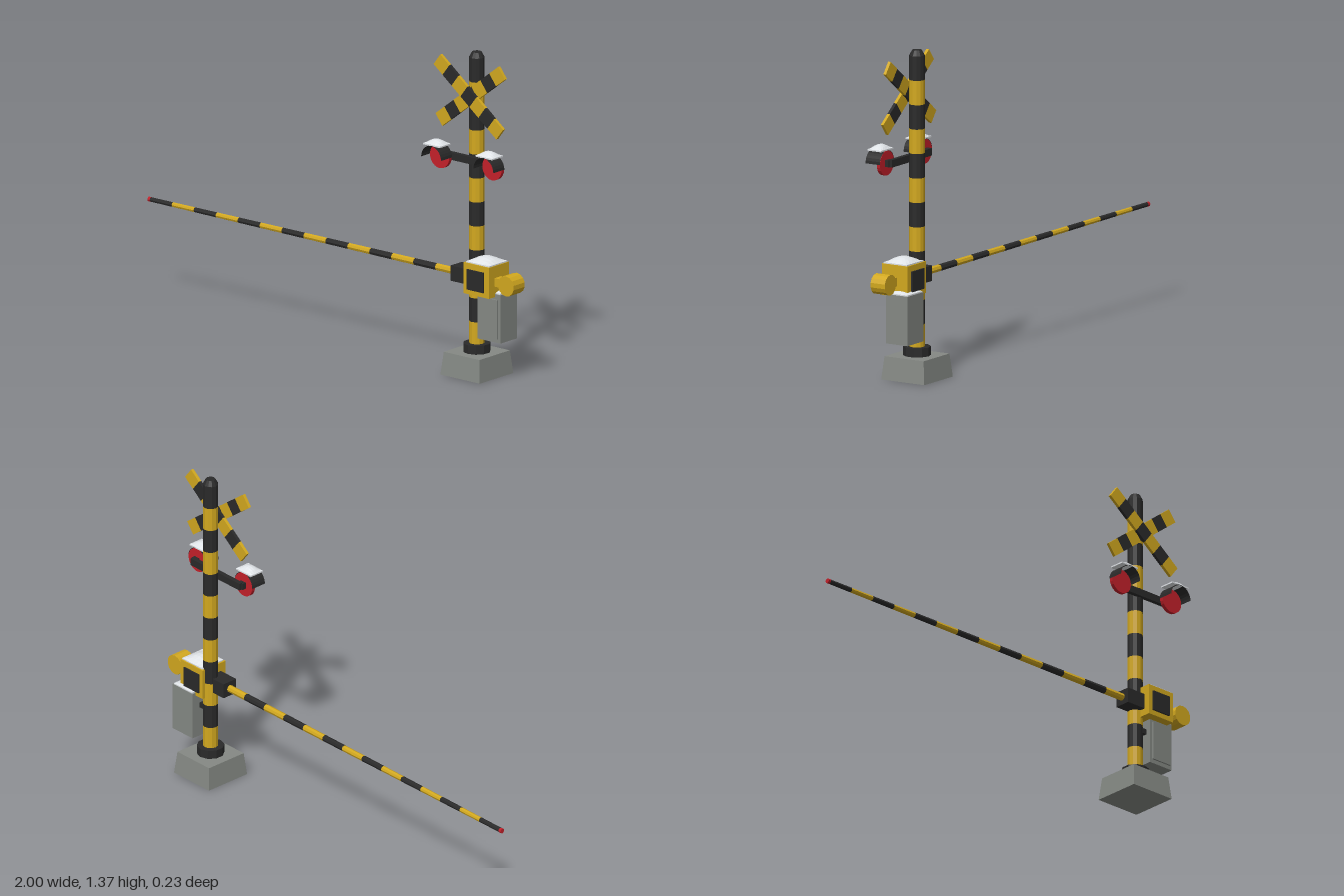
import * as THREE from 'three';

function mat(name, color, double) {
  const m = new THREE.MeshStandardMaterial({ color, flatShading: true });
  m.name = name;
  if (double) m.side = THREE.DoubleSide;
  return m;
}

export function createModel() {
  const yellow = mat('yellow', 0xd2a81f);
  const black = mat('black', 0x2a2a2a, true);
  const grey = mat('concrete grey', 0x858984);
  const red = mat('red', 0xc4202a);
  const snow = mat('snow white', 0xe6eaee);

  const model = new THREE.Group();
  model.name = 'crossingBarrier';
  const PX = 0.748, PZ = -0.007, ARM_Y = 0.425, ARM_Z = 0.015;

  function add(name, geo, material, x = 0, y = 0, z = 0, parent = model) {
    const m = new THREE.Mesh(geo, material);
    m.name = name;
    m.position.set(x, y, z);
    parent.add(m);
    return m;
  }
  // Box given by its minimum and maximum corners
  function box(name, material, x0, x1, y0, y1, z0, z1, parent) {
    return add(name, new THREE.BoxGeometry(x1 - x0, y1 - y0, z1 - z0), material,
      (x0 + x1) / 2, (y0 + y1) / 2, (z0 + z1) / 2, parent);
  }
  // Thin slab of snow with a domed top
  function snowCap(name, x, y, z, w, d, h) {
    const geo = new THREE.BoxGeometry(w, 0.006, d, 6, 1, 6);
    const p = geo.attributes.position;
    for (let i = 0; i < p.count; i++) {
      if (p.getY(i) < 0) continue;
      const u = p.getX(i) / (w / 2), v = p.getZ(i) / (d / 2);
      p.setY(i, 0.003 + h * (1 - u * u) * (1 - v * v));
    }
    geo.computeVertexNormals();
    add(name, geo, snow, x, y + 0.003, z);
  }

  // Tapered concrete foot and collar
  const foot = new THREE.CylinderGeometry(0.096 * Math.SQRT2, 0.106 * Math.SQRT2, 0.097, 4);
  foot.rotateY(Math.PI / 4);
  add('foot', foot, grey, PX, 0.0485, PZ);
  add('collar', new THREE.CylinderGeometry(0.057, 0.057, 0.038, 10), black, PX, 0.115, PZ);

  // Striped post, from the top down
  const post = new THREE.Group();
  post.name = 'post';
  model.add(post);
  const step = 0.1022;
  for (let i = 0; i < 12; i++) {
    const top = 1.352 - i * step;
    const bottom = i === 11 ? 0.1 : top - step;
    add('postStripe', new THREE.CylinderGeometry(0.032, 0.032, top - bottom, 12),
      i % 2 ? yellow : black, PX, (top + bottom) / 2, PZ, post);
  }
  add('postCap', new THREE.CylinderGeometry(0.02, 0.032, 0.022, 12), black, PX, 1.363, PZ, post);

  // Crossed warning boards
  for (const side of [-1, 1]) {
    const board = new THREE.Group();
    board.name = 'crossBoard';
    board.position.set(PX, 1.192, side < 0 ? 0.0405 : 0.0285);
    board.rotation.z = side * 0.655;
    model.add(board);
    const len = 0.426 / 7;
    for (let i = 0; i < 7; i++) {
      add('boardStripe', new THREE.BoxGeometry(len, 0.06, 0.013),
        i % 2 ? black : yellow, (i - 3) * len, 0, 0, board);
    }
  }

  // Warning lamps on a crossbar
  box('lampBar', black, 0.6, 0.896, 0.903, 0.934, 0.018, 0.037);
  for (const side of [-1, 1]) {
    const x = PX + side * 0.141, y = 0.918;
    const lens = new THREE.CylinderGeometry(0.052, 0.052, 0.016, 24);
    lens.rotateX(Math.PI / 2);
    add('lampLens', lens, red, x, y, 0.055);
    box('lampMount', black, x - 0.014, x + 0.014, y - 0.014, y + 0.014, 0.03, 0.047);
    const hood = new THREE.CylinderGeometry(0.0535, 0.0535, 0.07, 14, 1, true, Math.PI / 2, Math.PI);
    hood.rotateX(Math.PI / 2);
    add('lampHood', hood, black, x, y, 0.082);
    snowCap('lampSnow', x, 0.97, 0.08, 0.09, 0.068, 0.019);
  }

  // Gearbox with a dark panel on the front and back
  box('gearbox', yellow, 0.748, 0.884, 0.362, 0.494, -0.051, 0.076);
  box('frontPanel', black, 0.768, 0.858, 0.383, 0.469, 0.076, 0.083);
  box('backPanel', black, 0.768, 0.858, 0.383, 0.469, -0.057, -0.051);
  snowCap('gearboxSnow', 0.818, 0.493, 0.013, 0.125, 0.116, 0.022);

  // Counterweight
  box('counterweightArm', yellow, 0.88, 0.93, ARM_Y - 0.018, ARM_Y + 0.018, 0, 0.04);
  const weight = new THREE.CylinderGeometry(0.043, 0.043, 0.07, 14);
  weight.rotateX(Math.PI / 2);
  add('counterweight', weight, yellow, 0.957, ARM_Y, 0.02);

  // Striped, tapering barrier arm and its socket
  box('armSocket', black, 0.655, 0.749, 0.392, 0.457, -0.02, 0.05);
  const arm = new THREE.Group();
  arm.name = 'barrierArm';
  model.add(arm);
  const x0 = -0.988, seg = 0.1186;
  const radius = (i) => 0.01 + i * 0.0004;
  for (let i = 0; i < 14; i++) {
    const geo = new THREE.CylinderGeometry(radius(i), radius(i + 1), seg, 8);
    geo.rotateZ(Math.PI / 2);
    add('armStripe', geo, i % 2 ? yellow : black, x0 + (i + 0.5) * seg, ARM_Y, ARM_Z, arm);
  }
  const tip = new THREE.CylinderGeometry(0.0105, 0.0105, 0.012, 8);
  tip.rotateZ(Math.PI / 2);
  add('armTip', tip, red, -0.994, ARM_Y, ARM_Z, arm);

  // Control cabinet hung beside the post
  box('cabinet', grey, 0.79, 0.912, 0.168, 0.374, -0.068, 0.037);
  box('cabinetDoor', grey, 0.802, 0.9, 0.185, 0.352, 0.037, 0.044);
  box('cabinetBracket', black, 0.765, 0.792, 0.3, 0.322, -0.03, 0.016);
  snowCap('cabinetSnow', 0.851, 0.373, -0.016, 0.112, 0.1, 0.014);

  return model;
}
